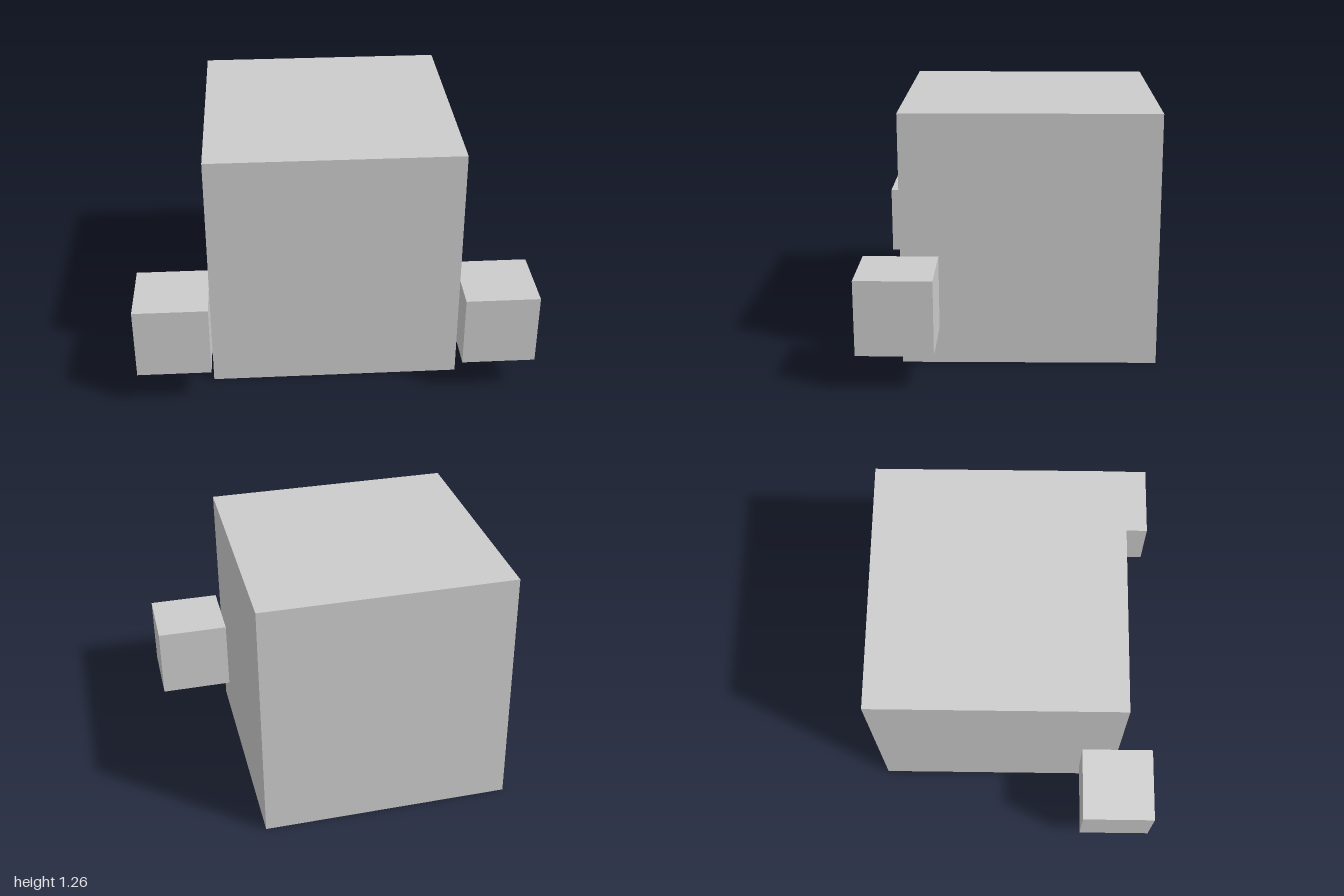
import * as THREE from 'three';

export function createModel() {
  const model = new THREE.Group();
  const material = new THREE.MeshStandardMaterial({ color: 0xcccccc, flatShading: true });

  const addCube = (name, size, x, y, z) => {
    const cube = new THREE.Mesh(new THREE.BoxGeometry(size, size, size), material);
    cube.name = name;
    cube.position.set(x, y, z);
    model.add(cube);
  };

  // Large cubic body, standing on the ground
  const bodySize = 1.26;
  addCube('body', bodySize, 0, bodySize / 2, -0.091);

  // Small cubic hands, flush with the sides and half in front of the body
  const handSize = 0.369;
  for (const [name, side] of [['leftHand', 1], ['rightHand', -1]]) {
    addCube(name, handSize, side * (1 - handSize / 2), 0.369, 0.537);
  }

  return model;
}
